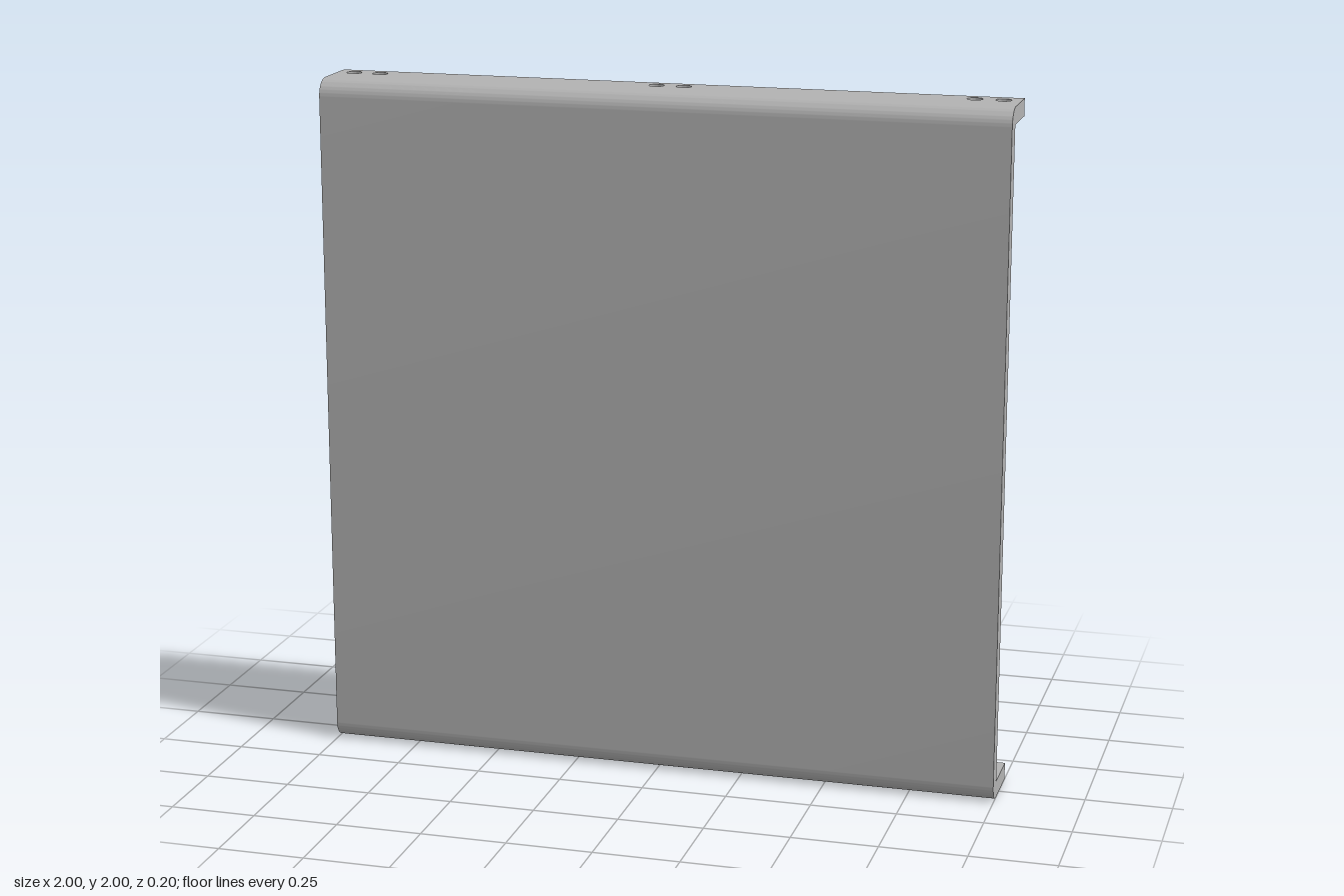
import * as THREE from 'three';
import { toCreasedNormals } from 'three/addons/utils/BufferGeometryUtils.js';

const WIDTH = 2, HEIGHT = 2, T = 0.05; // T: sheet thickness and outer bend radius
const FRONT = 0.1, BACK = -0.1;
const HOLE_X = [0.04, 0.87, 0.95], HOLE_Z = -0.053, HOLE_R = 0.022;

const steel = new THREE.MeshStandardMaterial({ color: 0xb2b2b2 });
steel.name = 'grey steel';

// Upright sheet with rounded outer bends, its profile extruded across the width
function makeWeb() {
  const s = new THREE.Shape();
  s.moveTo(-FRONT + T, 0);
  s.lineTo(-FRONT + T, HEIGHT);
  s.absarc(-FRONT + T, HEIGHT - T, T, Math.PI / 2, Math.PI, false);
  s.lineTo(-FRONT, T);
  s.absarc(-FRONT + T, T, T, Math.PI, Math.PI * 1.5, false);
  const geo = new THREE.ExtrudeGeometry(s, { depth: WIDTH, bevelEnabled: false, curveSegments: 12 });
  geo.translate(0, 0, -WIDTH / 2).rotateY(Math.PI / 2);
  return toCreasedNormals(geo, 0.6);
}

// Flat lip with three pairs of drilled holes
function makeFlange() {
  const near = -(FRONT - T), far = -BACK;
  const s = new THREE.Shape();
  s.moveTo(-WIDTH / 2, near);
  s.lineTo(WIDTH / 2, near);
  s.lineTo(WIDTH / 2, far);
  s.lineTo(-WIDTH / 2, far);
  s.closePath();
  for (const x of HOLE_X) {
    for (const side of [-1, 1]) {
      const hole = new THREE.Path();
      hole.absarc(side * x, -HOLE_Z, HOLE_R, 0, Math.PI * 2, true);
      s.holes.push(hole);
    }
  }
  const geo = new THREE.ExtrudeGeometry(s, { depth: T, bevelEnabled: false, curveSegments: 16 });
  geo.rotateX(-Math.PI / 2);
  return toCreasedNormals(geo, 0.6);
}

export function createModel() {
  const group = new THREE.Group();
  group.name = 'channelPanel';

  const web = new THREE.Mesh(makeWeb(), steel);
  web.name = 'frontPanel';
  group.add(web);

  const flangeGeo = makeFlange();
  for (const [name, y] of [['bottomFlange', 0], ['topFlange', HEIGHT - T]]) {
    const flange = new THREE.Mesh(flangeGeo, steel);
    flange.name = name;
    flange.position.y = y;
    group.add(flange);
  }
  return group;
}
